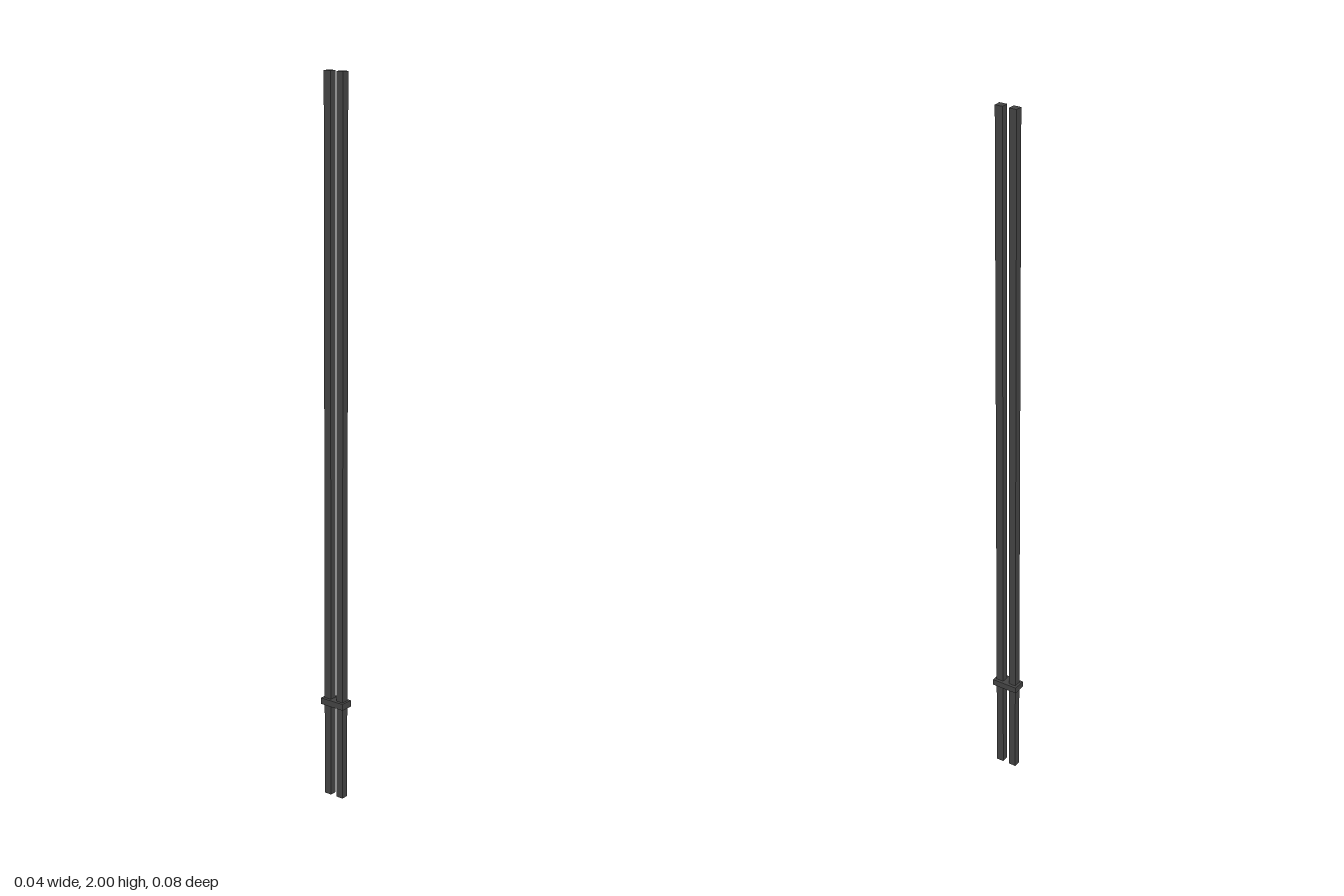
import * as THREE from 'three';

export function createModel() {
  const group = new THREE.Group();
  const material = new THREE.MeshStandardMaterial({ color: 0x444444 });

  const addBox = (name, w, h, d, y, z) => {
    const mesh = new THREE.Mesh(new THREE.BoxGeometry(w, h, d), material);
    mesh.name = name;
    mesh.position.set(0, y, z);
    group.add(mesh);
  };

  // Twin square posts, one behind the other
  addBox('frontPost', 0.021, 2, 0.022, 1, 0.0205);
  addBox('backPost', 0.021, 2, 0.022, 1, -0.0205);

  // Collar block joining both posts near the foot
  addBox('collar', 0.038, 0.018, 0.076, 0.278, 0);

  return group;
}
